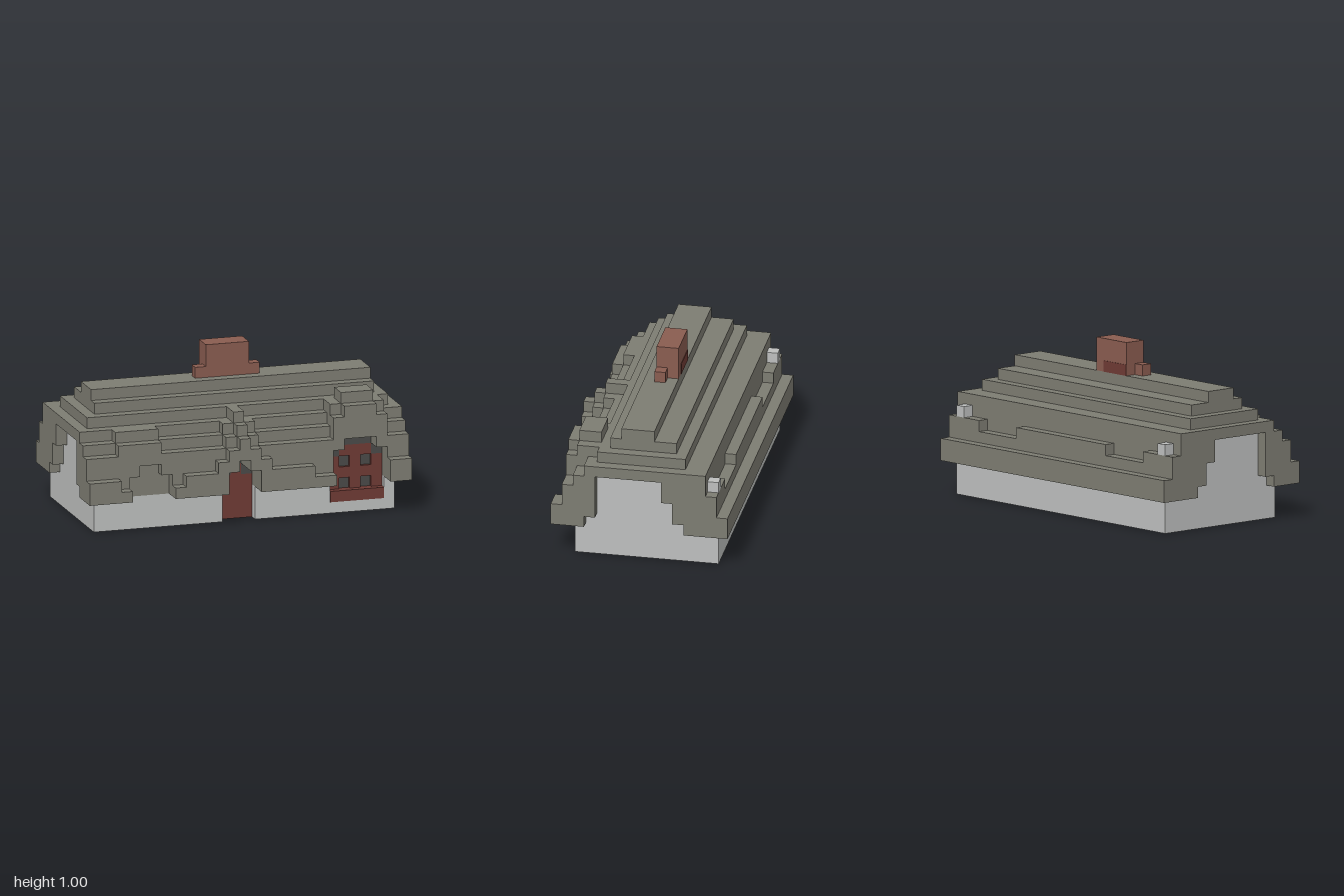
import * as THREE from 'three';

const U = 1 / 15; // one block

const mat = (name, color) => {
  const m = new THREE.MeshStandardMaterial({ color });
  m.name = name;
  return m;
};

export function createModel() {
  const house = new THREE.Group();
  house.name = 'cottage';
  const thatch = mat('thatch', 0x7d7c72);
  const plaster = mat('plaster', 0xbdbfbe);
  const brick = mat('brick', 0x895c50);
  const redWood = mat('red wood', 0x6e3a34);
  const dark = mat('dark stone', 0x4a4a48);

  const add = (name, geo, material) => {
    const mesh = new THREE.Mesh(geo, material);
    mesh.name = name;
    house.add(mesh);
  };
  // Box given by its limits in blocks
  const box = (name, material, x0, x1, y0, y1, z0, z1) => {
    const g = new THREE.BoxGeometry((x1 - x0) * U, (y1 - y0) * U, (z1 - z0) * U);
    g.translate((x0 + x1) / 2 * U, (y0 + y1) / 2 * U, (z0 + z1) / 2 * U);
    add(name, g, material);
  };
  // Side profile of [z, y] points, extruded across x
  const prism = (name, material, half, points) => {
    const shape = new THREE.Shape(points.map(([z, y]) => new THREE.Vector2(z * U, y * U)));
    const g = new THREE.ExtrudeGeometry(shape, { depth: 2 * half * U, bevelEnabled: false });
    g.rotateY(-Math.PI / 2).translate(half * U, 0, 0);
    add(name, g, material);
  };

  // Walls with stepped gables
  prism('walls', plaster, 14, [[-7, 0], [5, 0], [5, 4], [4, 4], [4, 8], [-2, 8], [-2, 6],
    [-3, 6], [-3, 4], [-4, 4], [-4, 3], [-7, 3]]);
  // Front wall, leaving recesses for door and window
  [[-14, -2, 3], [1, 8, 3], [8, 13, 1], [13, 14, 3]].forEach(([a, b, top]) =>
    box('frontWall', plaster, a, b, 0, top, 5, 6));
  box('floor', thatch, -13, 13, -0.05, 0.05, -6, 4.9);

  // Roof shell over the gables, then upper steps
  prism('roofShell', thatch, 15, [[-8, 3], [-4, 3], [-4, 4], [-3, 4], [-3, 6], [-2, 6], [-2, 8],
    [4, 8], [4, 4], [5, 4], [5, 9], [-6, 9], [-6, 6], [-7, 6], [-7, 5], [-8, 5]]);
  [[14, 9, -4, 4], [13, 10, -3, 3], [13, 11, -1, 2]].forEach(([w, y, z0, z1]) =>
    box('roofStep', thatch, -w, w, y, y + 1, z0, z1));

  // Raised parts of the back eave and the pale end blocks
  [[-15, -11], [-6, 6], [11, 15]].forEach(([a, b]) => box('backEave', thatch, a, b, 6, 7, -7, -6));
  [-14, 13].forEach(x => box('eaveBlock', plaster, x, x + 1, 7, 8, -7, -6));

  // Front roof rows: [x0, x1, bottom, top], keyed by back z
  const rows = {
    4: [[-1, 0, 9, 10], [8, 9, 9, 10], [9, 12, 9, 11], [12, 13, 9, 10]],
    5: [[-15, -12, 3, 8], [-12, -8, 3, 9], [-8, -2, 3, 8], [-2, -1, 5, 9], [-1, 0, 6, 10],
      [0, 1, 5, 9], [1, 8, 3, 8], [8, 9, 6, 10], [9, 12, 7, 11], [12, 13, 6, 10], [13, 15, 3, 8]],
    6: [[-15, -12, 3, 7], [-12, -11, 3, 8], [-11, -10, 5, 8], [-10, -8, 6, 8], [-8, -7, 5, 7],
      [-7, -2, 3, 7], [-2, -1, 5, 8], [-1, 0, 6, 9], [0, 1, 5, 8], [1, 8, 3, 7],
      [8, 9, 6, 9], [9, 12, 7, 10], [12, 13, 6, 9], [13, 15, 3, 7]],
    7: [[-15, -12, 3, 5], [-12, -11, 3, 4], [-7, -6, 3, 4], [-6, -3, 3, 5], [-3, -2, 3, 6],
      [-2, -1, 5, 7], [-1, 0, 6, 8], [0, 1, 5, 7], [1, 2, 3, 6], [2, 6, 3, 5], [6, 8, 3, 4],
      [13, 15, 3, 5]],
  };
  for (const [z, cols] of Object.entries(rows)) {
    cols.forEach(([a, b, y0, y1]) => box('frontRoof', thatch, a, b, y0, y1, +z, +z + 1));
  }

  // Door with dark arch
  box('door', redWood, -2, 1, 0, 4, 5, 5.1);
  box('doorTop', redWood, -1, 0, 4, 5, 5, 5.1);
  [[-2, 4], [0, 4], [-1, 5]].forEach(([x, y]) => box('doorArch', dark, x, x + 1, y, y + 1, 5, 5.1));

  // Window: sill, frame bars, panes and dark arch
  box('windowSill', redWood, 8, 13, 1, 2, 5, 6.02);
  box('windowPanes', dark, 9, 12, 2, 5, 5, 5.1);
  [8, 10, 12].forEach(x => box('windowPost', redWood, x, x + 1, 2, 5, 5, 5.4));
  [9, 11].forEach(x => box('windowRail', redWood, x, x + 1, 3, 4, 5, 5.4));
  box('windowHead', redWood, 9, 12, 5, 6, 5, 5.4);
  [[8, 9, 5], [12, 13, 5], [9, 12, 6]].forEach(([a, b, y]) =>
    box('windowArch', dark, a, b, y, y + 1, 5, 5.4));

  // Chimney
  box('chimney', brick, -2, 2, 12, 15, -1, 1);
  [-3, 2].forEach(x => box('chimneyStep', brick, x, x + 1, 12, 13, 0, 1));
  box('chimneyBackPatch', redWood, -2, 1, 12, 13, -1.05, -0.98);

  return house;
}
